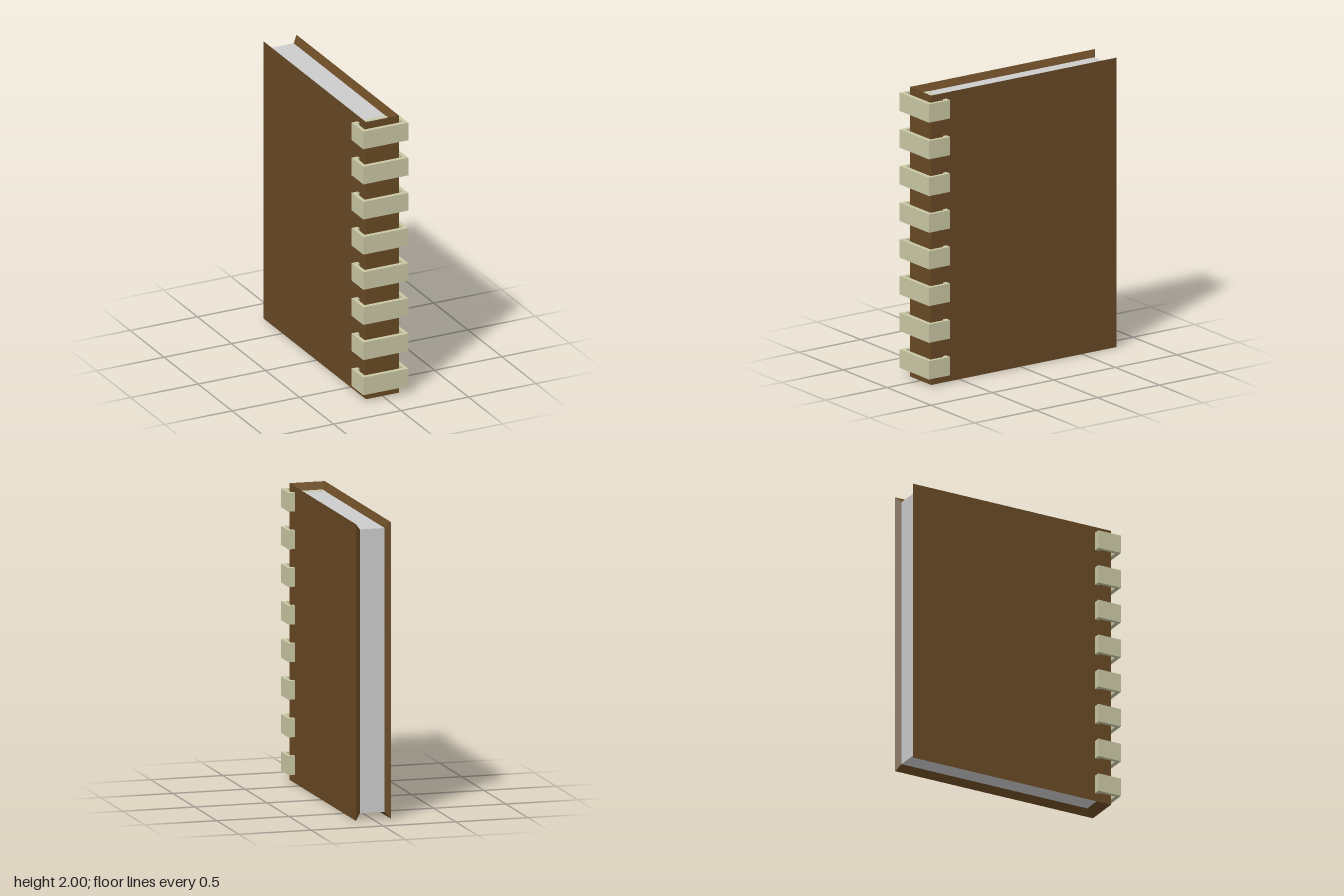
import * as THREE from 'three';

const coverMat = new THREE.MeshStandardMaterial({ color: 0x684924, flatShading: true });
const ringMat = new THREE.MeshStandardMaterial({ color: 0xc9c7a3, flatShading: true });
const pageMat = new THREE.MeshStandardMaterial({ color: 0xcccccc, flatShading: true });

// Cover outline (outer) and page block outline (inner)
const outer = { x: 0.122, back: -0.777, front: 0.727, bottom: 0, top: 2 };
const inner = { x: 0.086, back: -0.747, front: 0.663, bottom: 0.043, top: 1.957 };

// U-shaped loop around back edge, side, spine, side, back edge
function uLoop(o, y) {
  return [[-o.x, y, o.back], [-o.x, y, o.front], [o.x, y, o.front], [o.x, y, o.back]];
}

function coverGeometry() {
  const pos = [];
  const quad = (a, b, c, d) => pos.push(...a, ...b, ...c, ...a, ...c, ...d);
  const loops = [
    uLoop(inner, inner.bottom), uLoop(outer, outer.bottom),
    uLoop(outer, outer.top), uLoop(inner, inner.top),
  ];
  // Bottom bevel, outer walls, top bevel
  for (let r = 0; r < 3; r++) {
    for (let i = 0; i < 3; i++) {
      quad(loops[r][i], loops[r][i + 1], loops[r + 1][i + 1], loops[r + 1][i]);
    }
  }
  // Bevels along the open back edges
  const [ib, ob, ot, it] = loops;
  quad(ob[0], ot[0], it[0], ib[0]);
  quad(ib[3], it[3], ot[3], ob[3]);
  const g = new THREE.BufferGeometry();
  g.setAttribute('position', new THREE.Float32BufferAttribute(pos, 3));
  g.computeVertexNormals();
  return g;
}

function rectPath(path, x, z0, z1) {
  path.moveTo(-x, -z1);
  path.lineTo(x, -z1);
  path.lineTo(x, -z0);
  path.lineTo(-x, -z0);
  path.closePath();
  return path;
}

export function createModel() {
  const group = new THREE.Group();
  group.name = 'book';

  const cover = new THREE.Mesh(coverGeometry(), coverMat);
  cover.name = 'cover';
  group.add(cover);

  // Page block filling the cover
  const depth = inner.front - inner.back;
  const pages = new THREE.Mesh(
    new THREE.BoxGeometry(inner.x * 2, inner.top - inner.bottom, depth), pageMat);
  pages.name = 'pages';
  pages.position.set(0, 1, (inner.front + inner.back) / 2);
  group.add(pages);

  // Rectangular binding rings along the spine
  const ringHeight = 0.127;
  const shape = rectPath(new THREE.Shape(), 0.167, 0.605, 0.777);
  shape.holes.push(rectPath(new THREE.Path(), 0.142, 0.633, 0.747));
  const ringGeo = new THREE.ExtrudeGeometry(shape, { depth: ringHeight, bevelEnabled: false });
  ringGeo.rotateX(-Math.PI / 2);
  const rings = new THREE.Group();
  rings.name = 'bindingRings';
  for (let i = 0; i < 8; i++) {
    const ring = new THREE.Mesh(ringGeo, ringMat);
    ring.name = 'bindingRing' + (i + 1);
    ring.position.y = 0.057 + i * 0.2535;
    rings.add(ring);
  }
  group.add(rings);
  return group;
}
